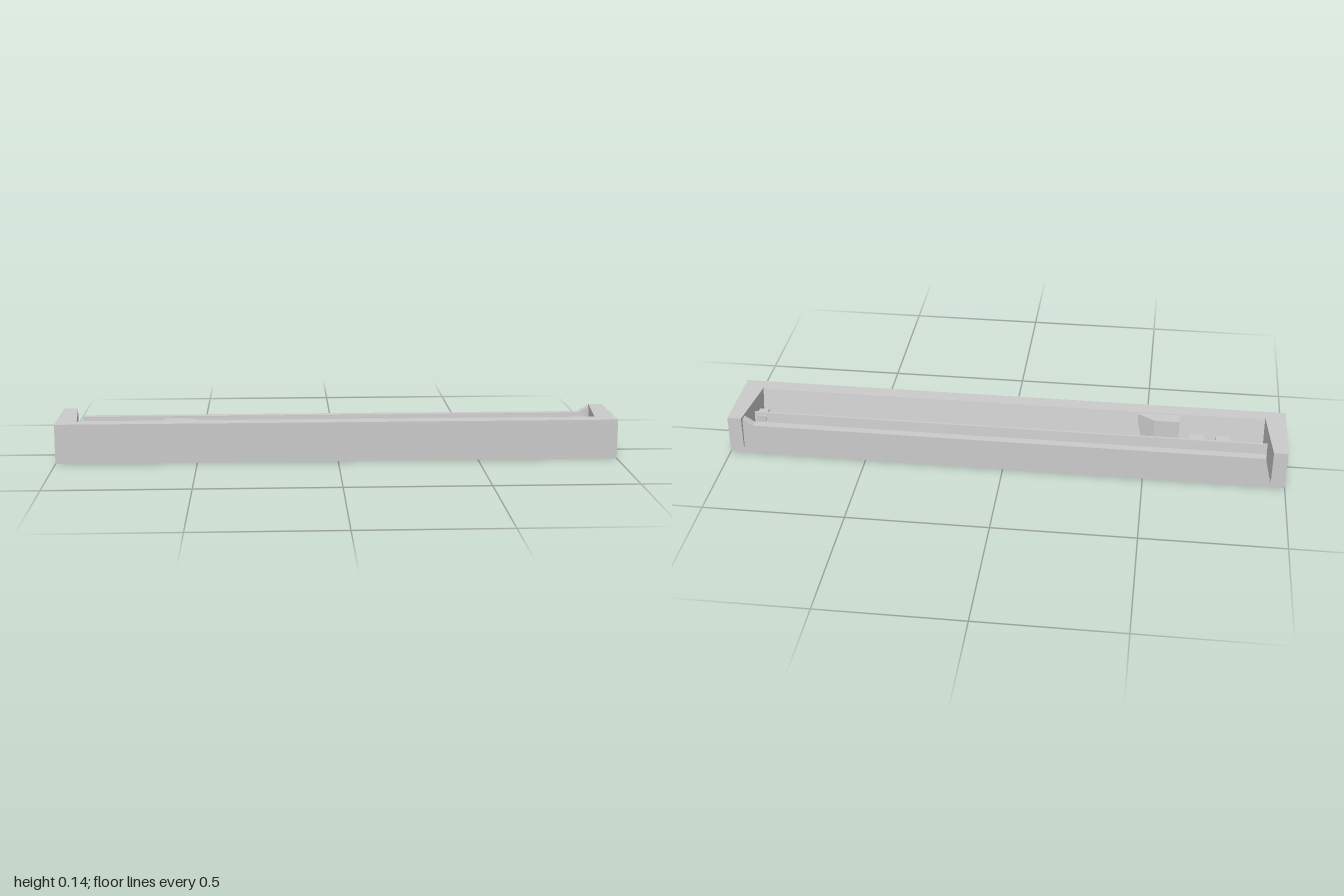
import * as THREE from 'three';

const FLOOR = 0.02, TOP = 0.142, HALF = 0.138;

export function createModel() {
  const group = new THREE.Group();
  const material = new THREE.MeshStandardMaterial({ color: 0xcccccc, flatShading: true });

  const add = (name, geometry) => {
    const mesh = new THREE.Mesh(geometry, material);
    mesh.name = name;
    group.add(mesh);
  };
  const extrude = (points, depth) => new THREE.ExtrudeGeometry(
    new THREE.Shape(points.map(([a, b]) => new THREE.Vector2(a, b))),
    { depth, bevelEnabled: false });

  // Cross-section in (z, y), run along x
  const alongX = (points, x0, x1) =>
    extrude(points.map(([z, y]) => [-z, y]), x1 - x0).rotateY(Math.PI / 2).translate(x0, 0, 0);
  // Plan outline in (x, z), raised along y
  const raised = (points, y0, y1) =>
    extrude(points.map(([x, z]) => [x, -z]), y1 - y0).rotateX(-Math.PI / 2).translate(0, y0, 0);
  // Elevation in (x, y), run along z
  const alongZ = (points, z0, z1) => extrude(points, z1 - z0).translate(0, 0, z0);

  // Floor of the tray
  add('floor', new THREE.BoxGeometry(2, FLOOR, 2 * HALF).translate(0, FLOOR / 2, 0));

  // End blocks, slightly wedge-shaped in plan
  for (const [name, s] of [['leftEndBlock', 1], ['rightEndBlock', -1]]) {
    add(name, raised([
      [s, HALF], [s, -HALF], [s * 0.95, -HALF], [s * 0.925, 0.1], [s * 0.925, HALF],
    ], FLOOR, TOP));
  }

  // Front wall with a sloping inner face
  add('frontWall', alongX(
    [[HALF, FLOOR], [HALF, TOP], [0.083, TOP], [0.06, FLOOR]], -0.925, 0.925));

  // Lower back wall: open notch at one end, sloped shoulder at the other
  add('backWall', alongZ([
    [-0.947, FLOOR], [0.947, FLOOR], [0.945, 0.138], [0.91, 0.116], [-0.925, 0.116],
  ], -HALF, -0.108));
  add('backWallFoot', alongX(
    [[-0.108, FLOOR], [-0.108, 0.114], [-0.099, FLOOR]], -0.93, 0.93));

  // Long central divider with tapered sides
  add('divider', alongX(
    [[-0.026, FLOOR], [-0.019, 0.1], [-0.01, 0.1], [-0.001, FLOOR]], -0.935, 0.935));
  add('dividerStop', new THREE.BoxGeometry(0.035, 0.07, 0.05).translate(0.91, FLOOR + 0.035, 0));

  // Chamfered block and two small lugs on the inside of the front wall
  add('innerBlock', raised([
    [-0.62, 0.09], [-0.47, 0.09], [-0.47, 0.075], [-0.53, 0.035], [-0.62, 0.035],
  ], FLOOR, 0.138));
  for (const x of [-0.78, -0.685]) {
    add('innerLug', new THREE.BoxGeometry(0.055, 0.05, 0.035).translate(x, FLOOR + 0.025, 0.0525));
  }

  return group;
}
